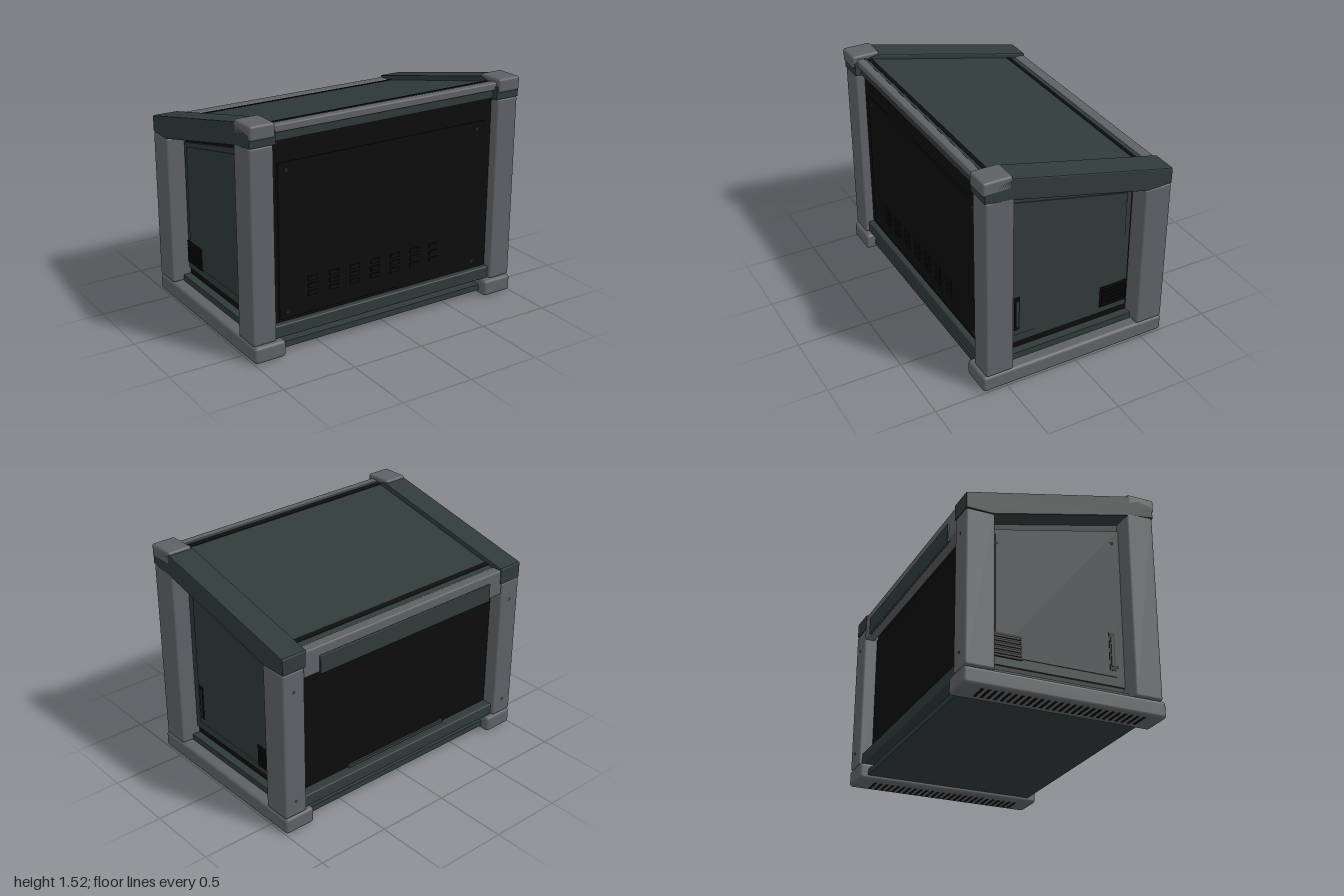
import * as THREE from 'three';
import { RoundedBoxGeometry } from 'three/addons/geometries/RoundedBoxGeometry.js';

const mat = (name, color) => {
  const m = new THREE.MeshStandardMaterial({ color });
  m.name = name;
  return m;
};

export function createModel() {
  const root = new THREE.Group();
  root.name = 'cabinet';
  const grey = mat('frame grey', 0x5e6164);
  const green = mat('panel dark green', 0x2f3a39);
  const black = mat('black', 0x0c0c0c);

  const add = (name, geo, material) => {
    const mesh = new THREE.Mesh(geo, material);
    mesh.name = name;
    root.add(mesh);
    return mesh;
  };
  // box given by its limits; r rounds the edges
  const box = (name, m, x0, x1, y0, y1, z0, z1, r = 0) => {
    const s = [Math.abs(x1 - x0), y1 - y0, z1 - z0];
    const geo = r ? new RoundedBoxGeometry(...s, 3, r) : new THREE.BoxGeometry(...s);
    geo.translate((x0 + x1) / 2, (y0 + y1) / 2, (z0 + z1) / 2);
    return add(name, geo, m);
  };
  // side profile of [z, y] points, extruded along x
  const profile = (name, m, pts, x0, x1, bevel = 0) => {
    const shape = new THREE.Shape(pts.map(p => new THREE.Vector2(...p)));
    const lo = Math.min(x0, x1), hi = Math.max(x0, x1);
    const geo = new THREE.ExtrudeGeometry(shape, {
      depth: hi - lo - 2 * bevel, bevelEnabled: bevel > 0, bevelSize: bevel,
      bevelThickness: bevel, bevelOffset: -bevel, bevelSegments: 2,
    });
    geo.rotateY(-Math.PI / 2);
    geo.translate(hi - bevel, 0, 0);
    return add(name, geo, m);
  };
  const roofY = z => 1.47 - 0.2267 * (0.47 - z);
  // sloped slab that follows the roof line
  const slab = (name, m, x0, x1, z0, z1, top, bottom) => profile(name, m, [
    [z0, roofY(z0) + bottom], [z1, roofY(z1) + bottom],
    [z1, roofY(z1) + top], [z0, roofY(z0) + top]], x0, x1);
  // small screw ring facing along x or z
  const screw = (x, y, z, axis) => {
    const geo = new THREE.TorusGeometry(0.008, 0.0025, 6, 14);
    if (axis === 'x') geo.rotateY(Math.PI / 2);
    add('screw', geo.translate(x, y, z), grey);
  };

  // inner body
  profile('innerBody', black, [[-0.55, 0.12], [0.57, 0.12],
    [0.57, roofY(0.57) - 0.05], [-0.55, roofY(-0.55) - 0.05]], -0.865, 0.865);

  // floor plate and sills
  box('floorPlate', green, -0.8, 0.8, 0.03, 0.07, -0.6, 0.6);
  box('frontSill', green, -0.84, 0.84, 0.115, 0.2, 0.54, 0.62, 0.01);
  box('backSill', green, -0.84, 0.84, 0.115, 0.2, -0.63, -0.52, 0.01);
  box('backSillTongue', green, -0.42, 0.42, 0.19, 0.22, -0.575, -0.54);

  // roof with its two dark slots
  slab('roofPanel', green, -0.83, 0.83, -0.58, 0.58, 0, -0.05);
  slab('rearRoofSlot', black, -0.82, 0.82, -0.54, -0.507, 0.003, -0.003);
  slab('frontRoofSlot', black, -0.82, 0.82, 0.523, 0.557, 0.003, -0.003);

  // top cross beams and rear cover
  box('frontTopBeam', grey, -0.84, 0.84, 1.445, 1.495, 0.575, 0.63, 0.01);
  box('frontTopTrim', green, -0.84, 0.84, 1.39, 1.45, 0.55, 0.61);
  box('rearTopBeam', grey, -0.84, 0.84, 1.06, 1.238, -0.65, -0.575, 0.012);
  box('rearCover', green, -0.72, 0.72, 1.05, 1.175, -0.66, -0.64, 0.005);

  // front and back panels
  box('frontPanel', black, -0.835, 0.835, 0.2, 1.39, 0.56, 0.58);
  box('frontDoor', black, -0.78, 0.78, 0.22, 1.24, 0.58, 0.587);
  box('backPanel', black, -0.835, 0.835, 0.2, 1.07, -0.56, -0.54);
  for (const x of [-0.72, 0.72]) for (const y of [0.26, 1.19]) screw(x, y, 0.587, 'z');
  for (let i = 0; i < 7; i++) {
    const x = -0.54 + i * 0.155;
    for (let j = 0; j < 3; j++)
      box('frontLouvre', black, x - 0.035, x + 0.035, 0.335 + j * 0.05, 0.365 + j * 0.05, 0.585, 0.594);
  }

  // parts mirrored on both sides
  for (const s of [-1, 1]) {
    box('foot', grey, s * 0.78, s, 0.003, 0.115, -0.66, 0.665, 0.022);
    for (let i = 0; i < 26; i++) {
      const z = -0.53 + i * 0.042;
      box('footRib', black, s * 0.84, s * 0.965, 0, 0.006, z, z + 0.016);
    }
    box('frontPost', grey, s * 0.835, s, 0.115, 1.385, 0.455, 0.645, 0.016);
    box('rearPost', grey, s * 0.835, s, 0.115, 1.14, -0.655, -0.462, 0.016);
    for (const y of [0.22, 1.0]) screw(s * 0.92, y, -0.655, 'z');

    // sloping rail and its front cap
    profile('topRail', green, [[0.65, 1.385], [0.65, 1.47], [0.47, 1.505], [-0.65, 1.25],
      [-0.655, 1.24], [-0.655, 1.14], [-0.48, 1.135], [0.45, 1.355]], s * 0.82, s, 0.008);
    box('railCap', grey, s * 0.83, s, 1.43, 1.522, 0.465, 0.66, 0.016);

    // side panel, door, sill
    profile('sidePanel', green, [[-0.447, 0.21], [0.455, 0.21], [0.455, 1.305], [-0.447, 1.1]],
      s * 0.85, s * 0.88);
    profile('sideDoor', green, [[-0.41, 0.27], [0.405, 0.27], [0.405, 1.255], [-0.41, 1.08]],
      s * 0.87, s * 0.886);
    box('sideSill', green, s * 0.83, s * 0.92, 0.11, 0.158, -0.47, 0.47);
    for (const [z, y] of [[0.4, 1.2], [-0.405, 1.015], [0.4, 0.335], [-0.405, 0.295]])
      screw(s * 0.886, y, z, 'x');

    // recessed handle
    box('handlePlate', black, s * 0.88, s * 0.89, 0.31, 0.56, 0.352, 0.39);
    box('handleGrip', green, s * 0.885, s * 0.895, 0.335, 0.53, 0.362, 0.378);

    // side vent
    box('ventPlate', black, s * 0.88, s * 0.892, 0.26, 0.415, -0.435, -0.24);
    for (let i = 0; i < 5; i++)
      box('ventSlat', black, s * 0.885, s * 0.899, 0.275 + i * 0.027, 0.29 + i * 0.027, -0.425, -0.25);
  }
  return root;
}
